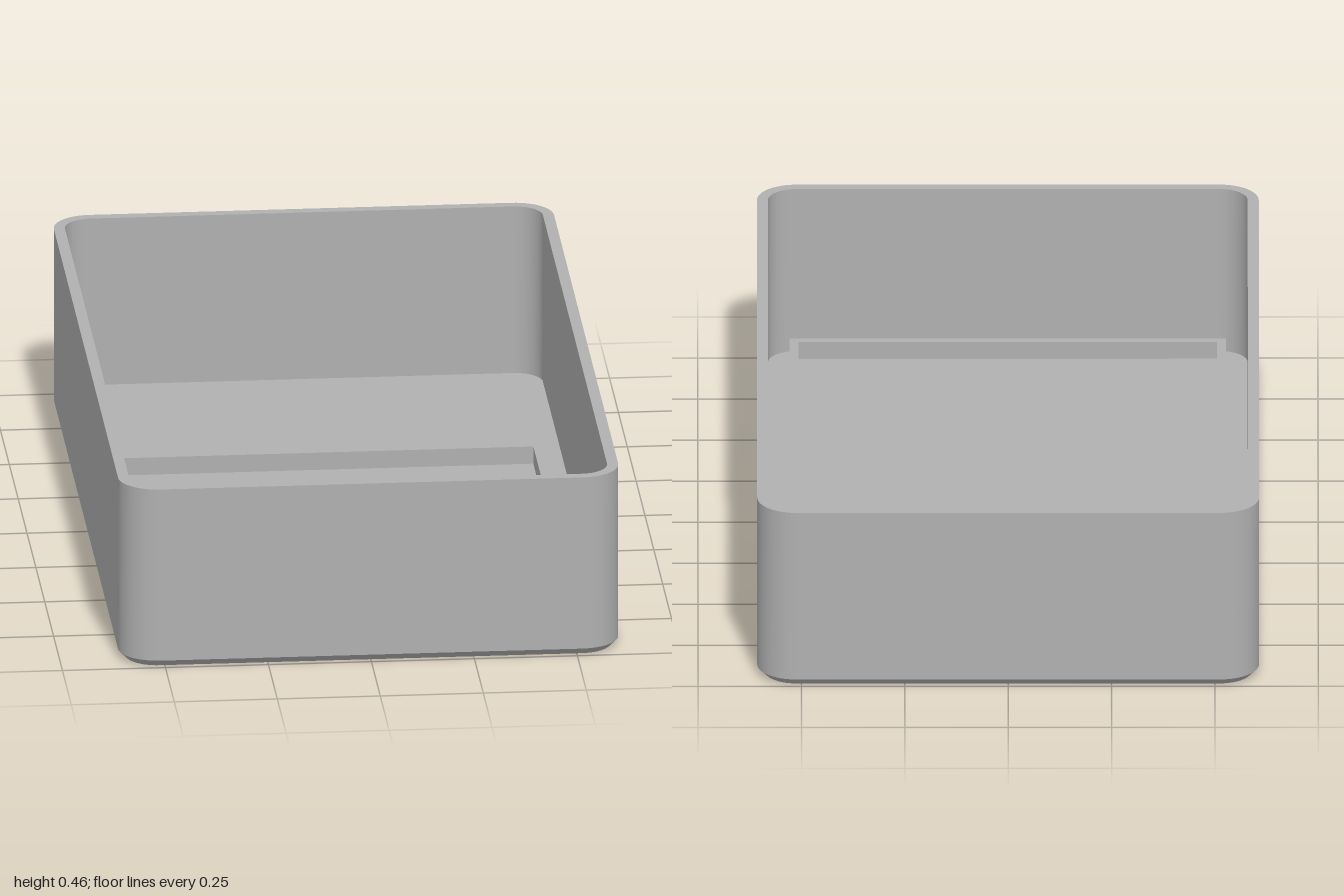
import * as THREE from 'three';

const HALF_X = 0.607, HALF_Z = 1, HEIGHT = 0.457, RADIUS = 0.095;
const WALL = 0.027, CHAMFER = 0.018, FLOOR = 0.03, RIDGE_TOP = 0.074;

// Rounded rectangle outline, moved inwards by inset
function outline(inset, steps = 12) {
  const r = RADIUS - inset, points = [];
  for (let q = 0; q < 4; q++) {
    const sx = q === 0 || q === 3 ? 1 : -1, sz = q < 2 ? 1 : -1;
    for (let i = 0; i <= steps; i++) {
      const a = (q + i / steps) * Math.PI / 2;
      points.push(new THREE.Vector2(
        sx * (HALF_X - RADIUS) + r * Math.cos(a),
        sz * (HALF_Z - RADIUS) + r * Math.sin(a)));
    }
  }
  return points;
}

// Closed band joining two outlines, smooth around the corners
function band([insetA, yA], [insetB, yB]) {
  const a = outline(insetA), b = outline(insetB), n = a.length;
  const positions = [], index = [];
  a.forEach(p => positions.push(p.x, yA, p.y));
  b.forEach(p => positions.push(p.x, yB, p.y));
  for (let i = 0; i < n; i++) {
    const j = (i + 1) % n;
    index.push(i, n + i, j, j, n + i, n + j);
  }
  const g = new THREE.BufferGeometry();
  g.setAttribute('position', new THREE.Float32BufferAttribute(positions, 3));
  g.setIndex(index);
  g.computeVertexNormals();
  return g;
}

// Flat sheet facing up (1) or down (-1)
function sheet(inset, y, facing) {
  return new THREE.ShapeGeometry(new THREE.Shape(outline(inset)))
    .rotateX(-facing * Math.PI / 2).translate(0, y, 0);
}

function rectangle(PathType, x, z0, z1) {
  return new PathType([[-x, -z1], [x, -z1], [x, -z0], [-x, -z0]]
    .map(p => new THREE.Vector2(...p)));
}

export function createModel() {
  const model = new THREE.Group();
  model.name = 'tray';
  const grey = new THREE.MeshStandardMaterial({ color: 0xb0b0b0 });
  grey.name = 'grey';
  const add = (name, geometry) => {
    const mesh = new THREE.Mesh(geometry, grey);
    mesh.name = name;
    model.add(mesh);
  };

  // Shell, from the underside up and over the rim to the floor
  add('underside', sheet(CHAMFER, 0, -1));
  add('bottomChamfer', band([CHAMFER, 0], [0, CHAMFER]));
  add('outerWall', band([0, CHAMFER], [0, HEIGHT]));
  add('rim', band([0, HEIGHT], [WALL, HEIGHT]));
  add('innerWall', band([WALL, HEIGHT], [WALL, FLOOR]));
  add('floor', sheet(WALL, FLOOR, 1));

  // Low rectangular ridge on the front part of the floor
  const ridge = rectangle(THREE.Shape, 0.528, -0.335, 0.948);
  ridge.holes.push(rectangle(THREE.Path, 0.506, -0.313, 0.926));
  add('floorRidge', new THREE.ExtrudeGeometry(ridge, { depth: RIDGE_TOP - FLOOR, bevelEnabled: false })
    .rotateX(-Math.PI / 2).translate(0, FLOOR, 0));

  return model;
}
